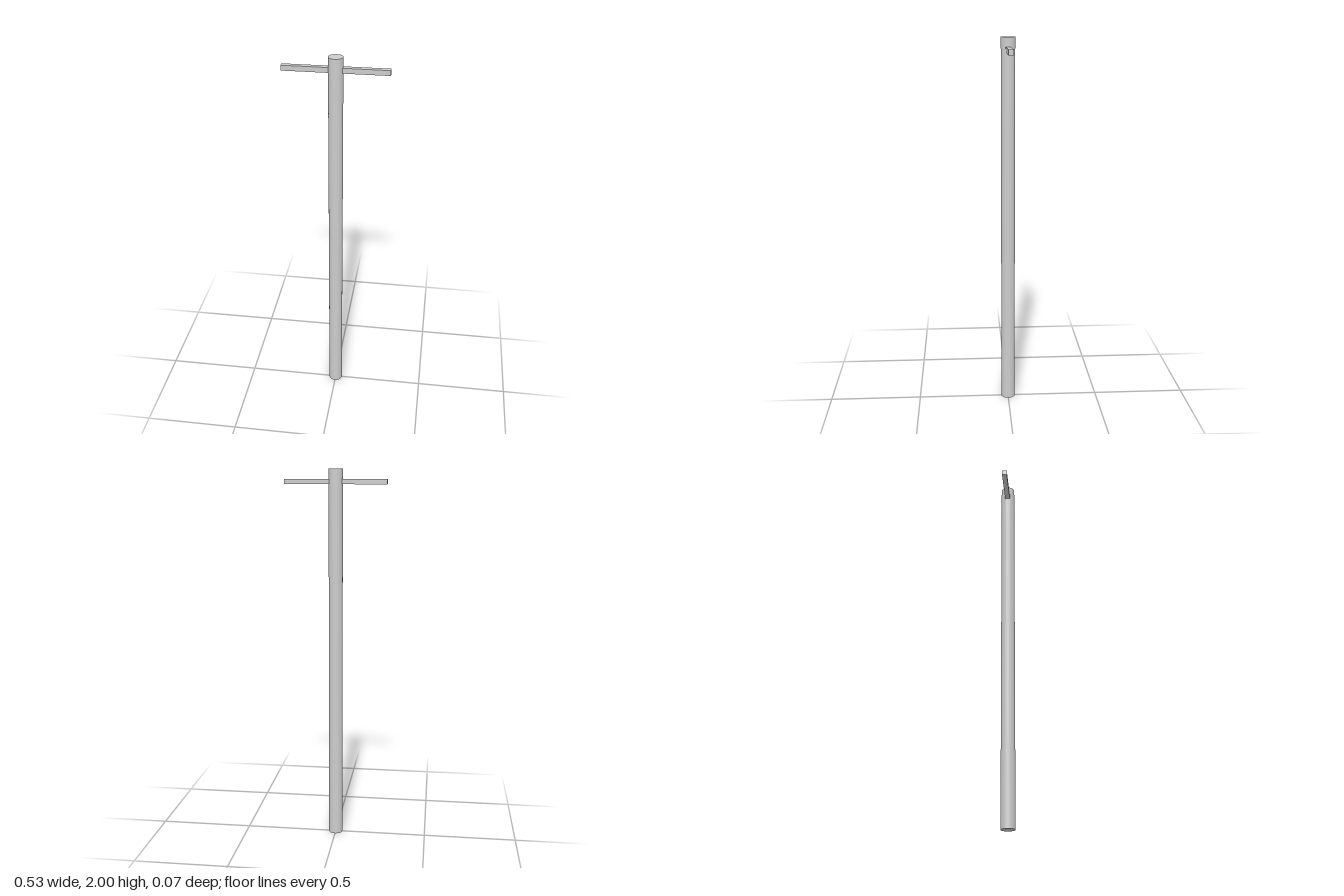
import * as THREE from 'three';

export function createModel() {
  const model = new THREE.Group();
  const material = new THREE.MeshStandardMaterial({ color: 0xcccccc });

  const addPart = (name, geometry, y) => {
    const mesh = new THREE.Mesh(geometry, material);
    mesh.name = name;
    mesh.position.y = y;
    model.add(mesh);
  };

  // Round upright pole standing on the ground
  addPart('pole', new THREE.CylinderGeometry(0.037, 0.037, 2, 48), 1);

  // Square bar running through the pole near its top
  addPart('crossbar', new THREE.BoxGeometry(0.534, 0.0267, 0.0267), 1.936);

  return model;
}
